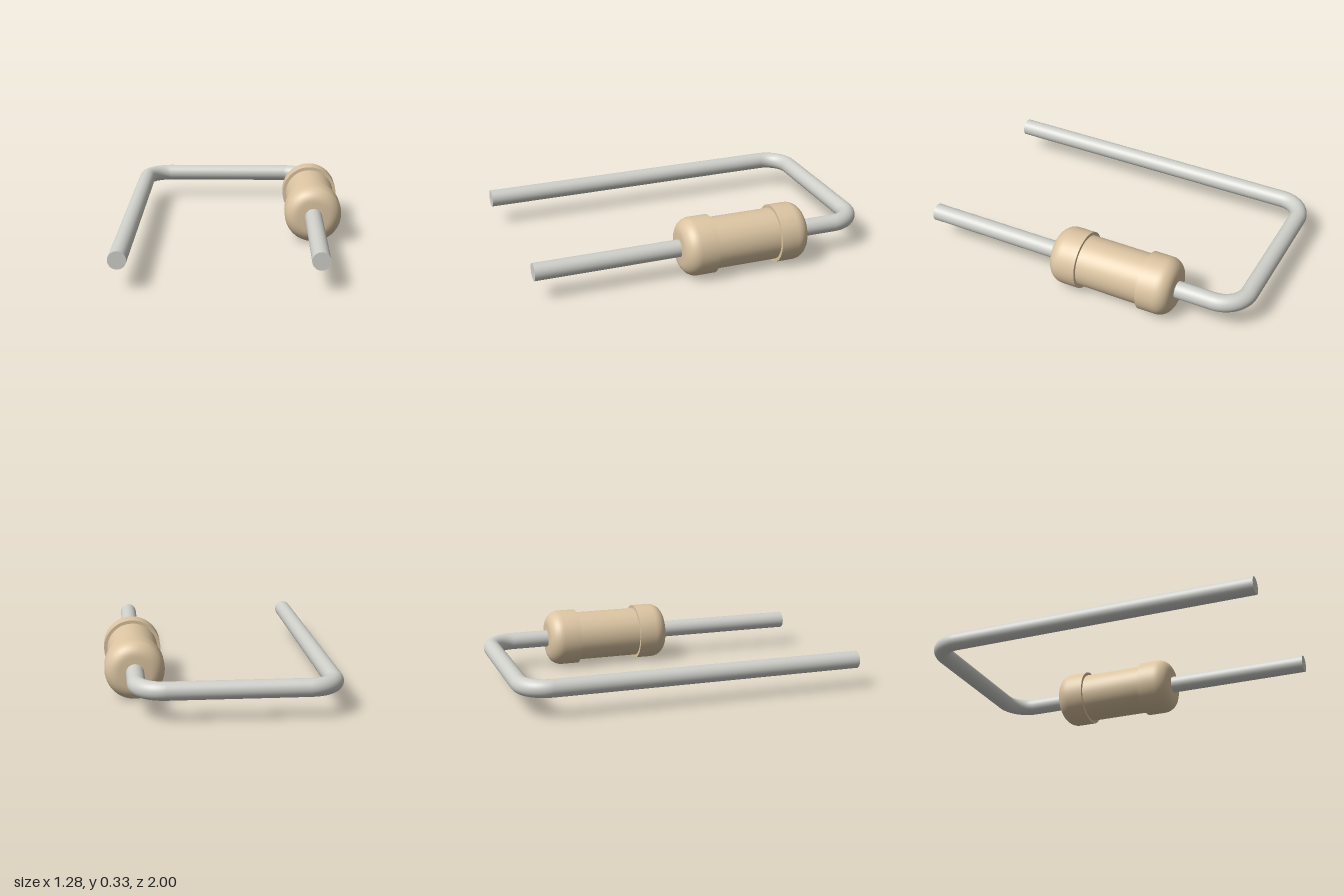
import * as THREE from 'three';
import { toCreasedNormals } from 'three/addons/utils/BufferGeometryUtils.js';

const Y = 0.168;          // height of the wire's centreline
const WIRE = 0.05;        // wire radius
const BEND = 0.15;        // bend radius of the centreline
const LEFT = 0.47, RIGHT = -0.588, BACK = -0.95, FRONT = 1;

export function createModel() {
  const model = new THREE.Group();
  model.name = 'resistor';
  const metal = new THREE.MeshStandardMaterial({ color: 0xcfd0ca });
  const ceramic = new THREE.MeshStandardMaterial({ color: 0xdcc5a2 });

  const add = (name, geometry, material, x, z) => {
    const mesh = new THREE.Mesh(geometry, material);
    mesh.name = name;
    mesh.position.set(x, Y, z);
    model.add(mesh);
  };

  // Straight legs, running front to back
  const bendZ = BACK + BEND;
  const legLength = FRONT - bendZ;
  for (const [name, x] of [['leftLeg', LEFT], ['rightLeg', RIGHT]]) {
    const leg = new THREE.CylinderGeometry(WIRE, WIRE, legLength, 32).rotateX(Math.PI / 2);
    add(name, leg, metal, x, (FRONT + bendZ) / 2);
  }

  // Cross wire at the back
  const crossLength = LEFT - RIGHT - 2 * BEND;
  const cross = new THREE.CylinderGeometry(WIRE, WIRE, crossLength, 32).rotateZ(Math.PI / 2);
  add('crossWire', cross, metal, (LEFT + RIGHT) / 2, BACK);

  // Quarter-circle bends joining the legs to the cross wire
  const bend = () => new THREE.TorusGeometry(BEND, WIRE, 32, 12, Math.PI / 2).rotateX(-Math.PI / 2);
  add('leftBend', bend(), metal, LEFT - BEND, bendZ);
  add('rightBend', bend().rotateY(Math.PI / 2), metal, RIGHT + BEND, bendZ);

  // Body: rounded end caps with a narrower barrel between them
  const half = 0.373, waist = 0.19, capR = 0.167, barrelR = 0.148, round = 0.08;
  const endCap = [[0, half]];
  for (let i = 0; i <= 8; i++) {
    const a = (i / 8) * Math.PI / 2;
    endCap.push([capR - round + round * Math.sin(a), half - round + round * Math.cos(a)]);
  }
  endCap.push([capR, waist], [barrelR, waist]);
  const profile = [
    ...endCap.map(([r, y]) => new THREE.Vector2(r, -y)),
    ...endCap.reverse().map(([r, y]) => new THREE.Vector2(r, y)),
  ];
  const body = toCreasedNormals(new THREE.LatheGeometry(profile, 48), 0.6).rotateX(Math.PI / 2);
  add('body', body, ceramic, LEFT, -0.21);

  return model;
}
